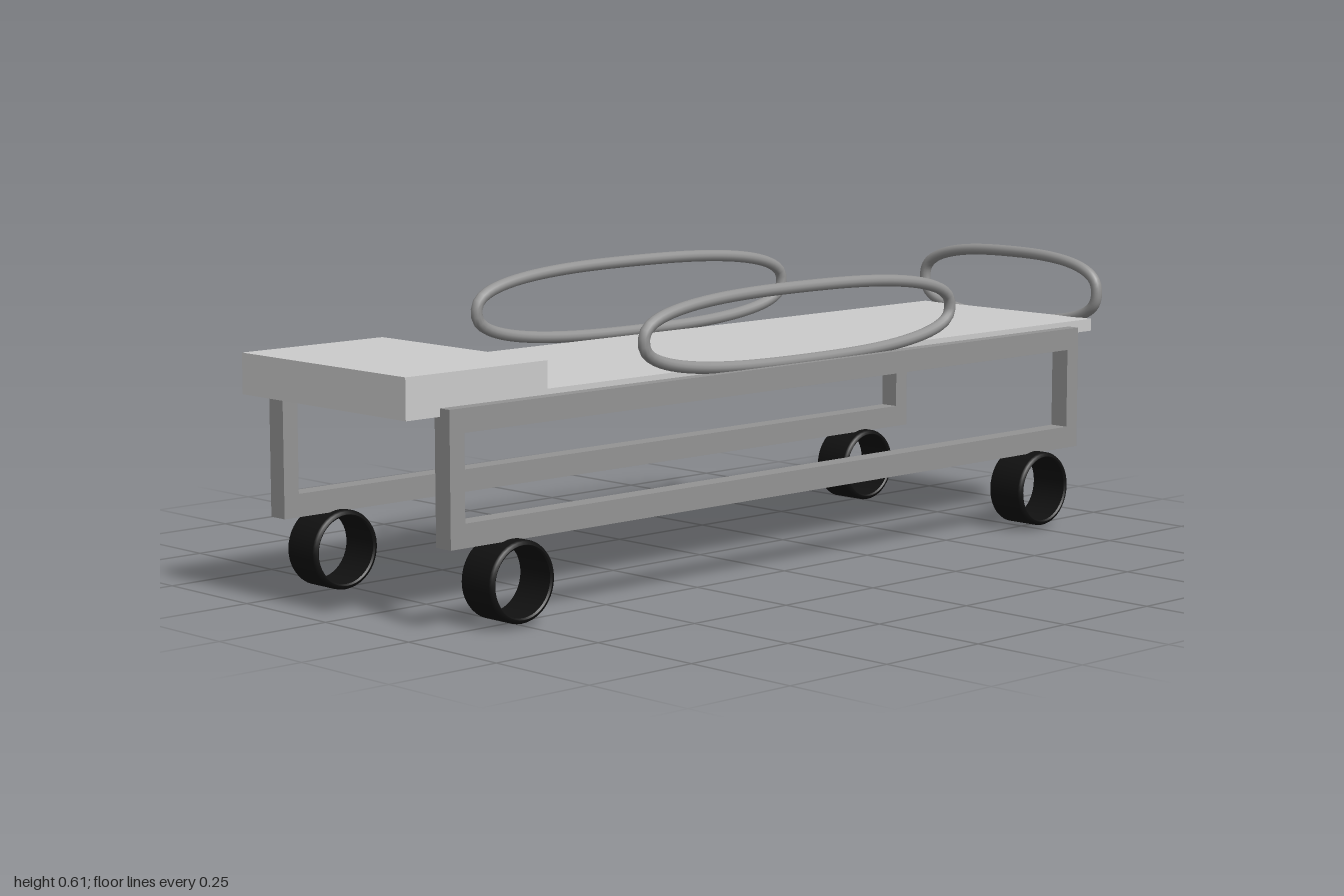
import * as THREE from 'three';

const padMat = new THREE.MeshStandardMaterial({ color: 0xcccccc });
const metalMat = new THREE.MeshStandardMaterial({ color: 0x949494 });
const tyreMat = new THREE.MeshStandardMaterial({ color: 0x111111 });

function add(parent, name, geometry, material, x = 0, y = 0, z = 0) {
  const mesh = new THREE.Mesh(geometry, material);
  mesh.name = name;
  mesh.position.set(x, y, z);
  parent.add(mesh);
  return mesh;
}

// Box given by its limits on each axis
function slab(parent, name, material, [x0, x1], [y0, y1], [z0, z1]) {
  return add(parent, name, new THREE.BoxGeometry(x1 - x0, y1 - y0, z1 - z0), material,
    (x0 + x1) / 2, (y0 + y1) / 2, (z0 + z1) / 2);
}

// Closed rounded tube loop, lying in the xy plane
function loopGeometry(halfLength, halfHeight, radius) {
  const points = [];
  const power = 2 / 2.6;
  const bend = (v) => Math.sign(v) * Math.abs(v) ** power;
  for (let i = 0; i < 48; i++) {
    const a = ((i + 0.5) / 48) * Math.PI * 2;
    points.push(new THREE.Vector3(halfLength * bend(Math.cos(a)), halfHeight * bend(Math.sin(a)), 0));
  }
  return new THREE.TubeGeometry(new THREE.CatmullRomCurve3(points, true), 128, radius, 12, true);
}

// Hollow wheel with softened rims, axis along x
function wheelGeometry() {
  const w = 0.046, outer = 0.081, inner = 0.069, r = 0.008;
  const profile = [
    [inner, -w + 0.003], [inner + 0.003, -w], [outer - r, -w], [outer - 0.0025, -w + 0.0025], [outer, -w + r],
    [outer, w - r], [outer - 0.0025, w - 0.0025], [outer - r, w], [inner + 0.003, w], [inner, w - 0.003],
    [inner, -w + 0.003],
  ].map(([x, y]) => new THREE.Vector2(x, y));
  return new THREE.LatheGeometry(profile, 40).rotateZ(Math.PI / 2);
}

// Rectangular frame of square bars, extruded across x
function frameGeometry(z0, z1, y0, y1, width) {
  const barY = 0.047, barZ = 0.036;
  const rect = (path, a, b, c, d) =>
    path.moveTo(a, c).lineTo(b, c).lineTo(b, d).lineTo(a, d).closePath();
  const shape = rect(new THREE.Shape(), -z1, -z0, y0, y1);
  shape.holes.push(rect(new THREE.Path(), -z1 + barZ, -z0 - barZ, y0 + barY, y1 - barY));
  return new THREE.ExtrudeGeometry(shape, { depth: width, bevelEnabled: false })
    .translate(0, 0, -width / 2).rotateY(Math.PI / 2);
}

export function createModel() {
  const model = new THREE.Group();
  model.name = 'stretcher';

  // Bed and head cushion
  slab(model, 'bed', padMat, [-0.25, 0.25], [0.418, 0.445], [-0.98, 1]);
  slab(model, 'pillow', padMat, [-0.25, 0.25], [0.445, 0.5], [0.65, 1]);

  // Each side has a frame, a guard rail and two wheels; the sides differ slightly
  const sides = [
    { name: 'left', frameX: 0.256, frame: [-0.902, 0.918, 0.168, 0.434], railX: 0.252, railY: 0.513, railZ: -0.052, wheelX: 0.263, wheelY: 0.091, wheelZ: [0.765, -0.757] },
    { name: 'right', frameX: -0.263, frame: [-0.908, 0.91, 0.16, 0.439], railX: -0.262, railY: 0.528, railZ: -0.06, wheelX: -0.266, wheelY: 0.083, wheelZ: [0.772, -0.759] },
  ];
  const rail = loopGeometry(0.45, 0.076, 0.0125).rotateY(Math.PI / 2);
  const wheel = wheelGeometry();
  for (const s of sides) {
    const side = new THREE.Group();
    side.name = s.name + 'Side';
    model.add(side);
    add(side, 'frame', frameGeometry(...s.frame, 0.043), metalMat, s.frameX);
    add(side, 'guardRail', rail, metalMat, s.railX, s.railY, s.railZ);
    s.wheelZ.forEach((z, i) =>
      add(side, i ? 'backWheel' : 'frontWheel', wheel, tyreMat, s.wheelX, s.wheelY, z));
  }

  // Loop handle at the foot end
  add(model, 'endHandle', loopGeometry(0.258, 0.076, 0.0125), metalMat, 0, 0.503, -0.9875);
  return model;
}
